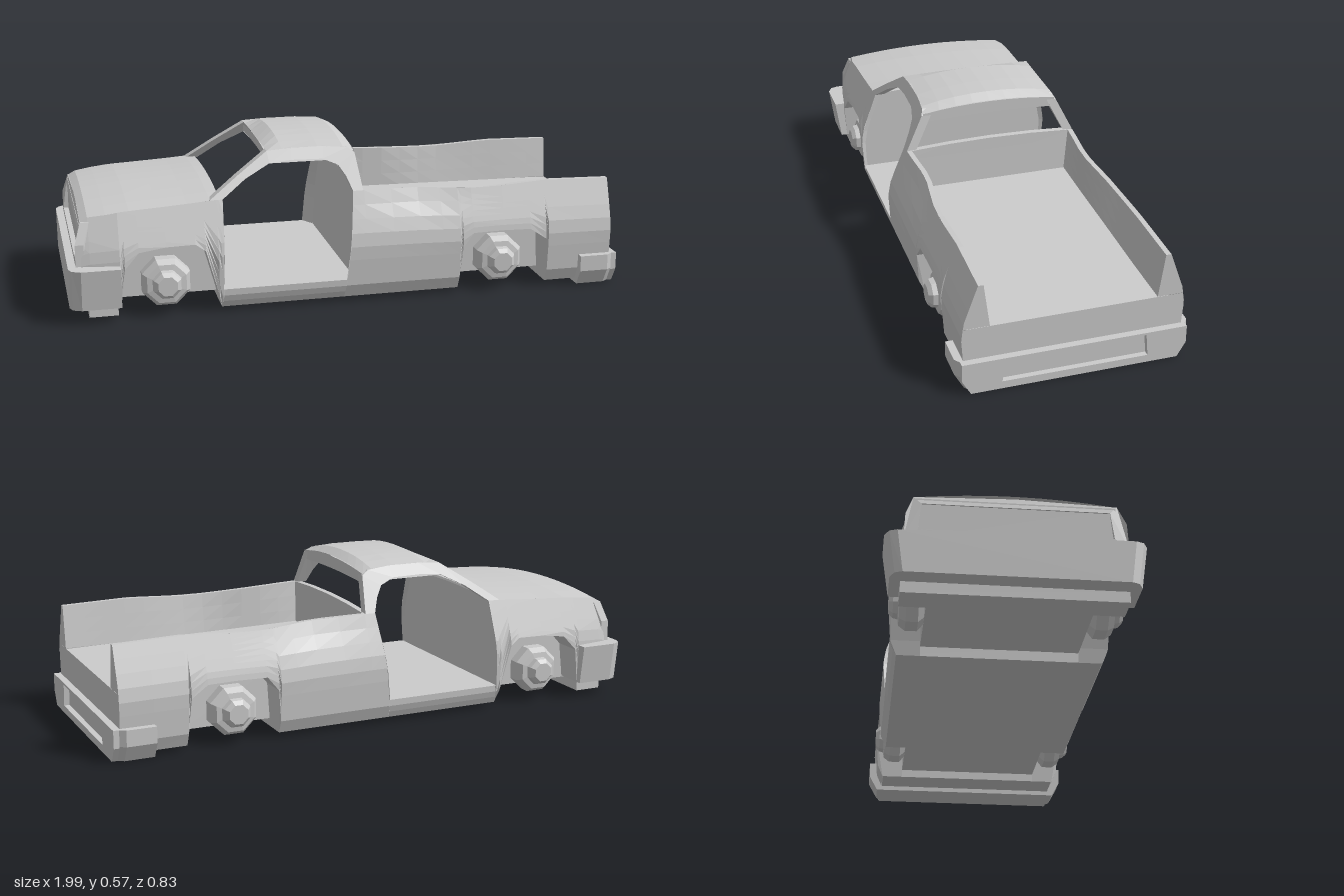
import * as THREE from 'three';

const mat = new THREE.MeshStandardMaterial({ color: 0xcccccc, flatShading: true, side: THREE.DoubleSide });
const lerp = THREE.MathUtils.lerp;

// Piecewise linear lookup in a list of [key, value]
function lookup(table, k) {
  if (k <= table[0][0]) return table[0][1];
  for (let i = 1; i < table.length; i++) {
    const [a, va] = table[i - 1], [b, vb] = table[i];
    if (k <= b) return lerp(va, vb, (k - a) / (b - a));
  }
  return table[table.length - 1][1];
}

// Half width of the body at a point of its side
const SECTION = [[0.02, 0.35], [0.06, 0.37], [0.2, 0.38], [0.26, 0.37], [0.33, 0.345], [0.4, 0.32], [0.54, 0.25], [0.575, 0.22]];
function width(x, y) {
  const nose = Math.max(0, -0.85 - x) * 0.22;
  const pinch = 0.018 * Math.exp(-(((x - 0.25) / 0.14) ** 2)) * THREE.MathUtils.smoothstep(y, 0.28, 0.38);
  return lookup(SECTION, y) - nose - pinch;
}

// Grid surface from fn(i, j) => [x, y, z]
function surface(nu, nv, fn) {
  const pos = [], idx = [];
  for (let i = 0; i <= nu; i++) for (let j = 0; j <= nv; j++) pos.push(...fn(i, j));
  for (let i = 0; i < nu; i++) for (let j = 0; j < nv; j++) {
    const a = i * (nv + 1) + j, b = a + nv + 1;
    idx.push(a, b, a + 1, b, b + 1, a + 1);
  }
  const g = new THREE.BufferGeometry();
  g.setAttribute('position', new THREE.Float32BufferAttribute(pos, 3));
  g.setIndex(idx);
  g.computeVertexNormals();
  return g;
}

function boxBetween(x0, x1, y0, y1, halfZ) {
  return new THREE.BoxGeometry(x1 - x0, y1 - y0, halfZ * 2).translate((x0 + x1) / 2, (y0 + y1) / 2, 0);
}

// Side skin from columns of [xBottom, yBottom, xTop, yTop]
function skin(cols, s, rows = 8) {
  return surface(cols.length - 1, rows, (i, j) => {
    const [xb, yb, xt, yt] = cols[i], t = j / rows;
    const x = lerp(xb, xt, t), y = lerp(yb, yt, t);
    return [x, y, s * width(x, y)];
  });
}

// Plate across the car with a rectangular hole, in z and y
function framedPlate(x, depth, outline, hz, hy0, hy1) {
  const shape = new THREE.Shape(outline.map(([z, y]) => new THREE.Vector2(z, y)));
  shape.holes.push(new THREE.Path([[-hz, hy0], [-hz * 0.97, hy1], [hz * 0.97, hy1], [hz, hy0]].map(p => new THREE.Vector2(...p))));
  return new THREE.ExtrudeGeometry(shape, { depth, bevelEnabled: false }).rotateY(Math.PI / 2).translate(x, 0, 0);
}

// Bumper extruded upward from its plan outline, narrowed at the bottom
function bumper(half, y0, y1, steps, narrow) {
  const pts = [...half, ...half.slice().reverse().map(([x, z]) => [x, -z])];
  const g = new THREE.ExtrudeGeometry(new THREE.Shape(pts.map(p => new THREE.Vector2(...p))), { depth: y1 - y0, steps, bevelEnabled: false });
  g.rotateX(-Math.PI / 2).translate(0, y0, 0);
  const p = g.attributes.position;
  for (let i = 0; i < p.count; i++) p.setZ(i, p.getZ(i) * narrow(p.getY(i)));
  g.computeVertexNormals();
  return g;
}

export function createModel() {
  const model = new THREE.Group();
  model.name = 'pickupTruck';
  const add = (name, geometry) => {
    const m = new THREE.Mesh(geometry, mat);
    m.name = name;
    model.add(m);
    return m;
  };

  const HOOD = [[-0.95, 0.35], [-0.92, 0.367], [-0.8, 0.382], [-0.6, 0.392], [-0.49, 0.4]];
  const RAIL = [[0.01, 0.4], [0.06, 0.4], [0.25, 0.395], [0.42, 0.385], [0.52, 0.384], [0.72, 0.396], [0.97, 0.39]];
  const frontArch = [[-0.82, 0.06], [-0.805, 0.19], [-0.755, 0.245], [-0.66, 0.258], [-0.56, 0.26], [-0.525, 0.235], [-0.48, 0.07], [-0.47, 0.02]];
  const rearArch = [[0.395, 0.02], [0.405, 0.18], [0.445, 0.23], [0.56, 0.232], [0.66, 0.23], [0.72, 0.19], [0.73, 0.02]];

  // Column from a lower edge point up to a top line
  const column = top => ([x, y]) => [x, y, x, lookup(top, x)];
  const fenderCols = [[-0.955, 0.06, -0.945, 0.353], [-0.92, 0.06, -0.92, 0.367], ...frontArch.map(column(HOOD)), [-0.468, 0.02, -0.455, 0.405]];
  const bedCols = [[-0.03, 0.02, 0.01, 0.4], ...[[0.05, 0.02], [0.15, 0.02], [0.25, 0.02], [0.33, 0.02], ...rearArch, [0.85, 0.02], [0.97, 0.02]].map(column(RAIL))];

  // Cab frame: outer and inner edge of pillars and roof rail
  const frame = [
    [-0.5, 0.4, -0.455, 0.4], [-0.4, 0.47, -0.37, 0.46], [-0.285, 0.545, -0.28, 0.505], [-0.2, 0.55, -0.2, 0.512],
    [-0.08, 0.55, -0.09, 0.51], [0.005, 0.542, -0.035, 0.488], [0.03, 0.525, -0.01, 0.45], [0.047, 0.4, 0.01, 0.4],
  ];
  // Inner face of the cargo bed
  const inner = (x, t) => {
    const y = lerp(0.235, lookup(RAIL, x), t);
    return [x, y, lerp(0.285, width(x, lookup(RAIL, x)) - 0.018, t)];
  };

  for (const s of [1, -1]) {
    const side = s > 0 ? 'Left' : 'Right';
    add('fender' + side, skin(fenderCols, s));
    add('bedSide' + side, skin(bedCols, s));
    add('sill' + side, skin([[-0.47, 0.02, -0.46, 0.09], [-0.25, 0.02, -0.25, 0.09], [-0.03, 0.02, -0.023, 0.09]], s, 3));

    // Hollow box section swept along the door opening
    add('cabFrame' + side, surface(frame.length - 1, 4, (i, j) => {
      const [ox, oy, ix, iy] = frame[i];
      const out = j === 0 || j === 3 || j === 4;
      const [x, y] = out ? [ox, oy] : [ix, iy];
      return [x, y, s * (width(x, y) - (j === 2 || j === 3 ? 0.035 : 0))];
    }));

    // Door jambs behind and ahead of the opening
    for (const [name, xb, xt] of [['frontJamb', -0.465, -0.455], ['rearJamb', -0.025, 0.01]]) {
      add(name + side, surface(6, 1, (i, j) => {
        const y = lerp(0.09, 0.4, i / 6), x = lerp(xb, xt, i / 6);
        return [x + (j ? (xb < -0.1 ? -0.02 : 0.03) : 0), y, s * (width(x, y) - j * 0.05)];
      }));
    }

    // Bed inner wall, rail cap and rear end of the wall
    add('bedWall' + side, surface(12, 3, (i, j) => {
      const [x, y, z] = inner(lerp(0.05, 0.97, i / 12), j / 3);
      return [x, y, s * z];
    }));
    add('bedRail' + side, surface(12, 1, (i, j) => {
      const x = lerp(0.05, 0.97, i / 12), y = lookup(RAIL, x);
      return [x, y, s * (width(x, y) - j * 0.018)];
    }));
    add('bedWallEnd' + side, surface(6, 1, (i, j) => {
      const [x, y, z] = inner(0.97, i / 6);
      return [x, y, s * (j ? z : width(x, y))];
    }));

    // Wheel wells and hubs
    [[frontArch, -0.66, 0.12, 'front'], [rearArch, 0.555, 0.115, 'rear']].forEach(([arch, x, y, name]) => {
      add(name + 'Well' + side, surface(arch.length - 1, 1, (i, j) => {
        const [ax, ay] = arch[i];
        return [ax, ay, s * (j ? 0.27 : width(ax, ay))];
      }));
      const profile = [[0, 0.386], [0.036, 0.386], [0.05, 0.372], [0.054, 0.355], [0.074, 0.352], [0.09, 0.33], [0.09, 0.29], [0.06, 0.265], [0, 0.265]];
      const hub = new THREE.LatheGeometry(profile.map(p => new THREE.Vector2(...p)), 8, Math.PI / 8).rotateX(s * Math.PI / 2);
      add(name + 'Wheel' + side, hub).position.set(x, y, 0);
    });
  }

  // Hood with a gentle crown, running forward over the nose
  const hoodX = [-0.945, -0.92, -0.86, -0.78, -0.68, -0.58, -0.5, -0.465];
  add('hood', surface(hoodX.length - 1, 8, (i, j) => {
    const x = hoodX[i], u = j / 4 - 1, y = lookup(HOOD, x);
    return [x, y + 0.02 * (1 - u * u), u * width(x, y)];
  }));

  // Nose: recessed grille inside a frame
  const nose = framedPlate(-0.968, 0.03, [[-0.355, 0.19], [0.355, 0.19], [0.35, 0.28], [0.325, 0.352], [0, 0.365], [-0.325, 0.352], [-0.35, 0.28]], 0.31, 0.225, 0.325);
  const np = nose.attributes.position;
  for (let i = 0; i < np.count; i++) np.setX(i, np.getX(i) + Math.max(0, np.getY(i) - 0.28) * 0.3);
  nose.computeVertexNormals();
  add('grilleFrame', nose);
  add('grille', boxBetween(-0.95, -0.93, 0.2, 0.345, 0.32));

  // Roof: closed section with top and underside
  const roofX = [[-0.285, 0.545, 0.548], [-0.23, 0.548, 0.574], [-0.1, 0.55, 0.575], [-0.01, 0.545, 0.572], [0.028, 0.53, 0.552]];
  add('roof', surface(roofX.length - 1, 8, (i, j) => {
    const [x, edge, mid] = roofX[i], u = j / 4 - 1;
    return [x, lerp(mid, edge, Math.abs(u) ** 2.2), u * width(x, edge)];
  }));
  add('roofLining', surface(2, 4, (i, j) => [[-0.28, -0.12, 0.03][i], 0.512 - Math.abs(j / 2 - 1) * 0.012, (j / 2 - 1) * 0.25]));
  for (const [name, x, top, bottom] of [['windshieldHeader', -0.285, 0.547, 0.515], ['rearWindowHeader', 0.03, 0.55, 0.505]]) {
    add(name, surface(8, 1, (i, j) => {
      const u = i / 4 - 1;
      return [x, (j ? bottom : top) - 0.018 * u * u * (j ? 0.4 : 1), u * 0.25];
    }));
  }

  // Cabin bulkheads and floor
  for (const [name, xb, xt, y0] of [['firewall', -0.47, -0.465, 0.02], ['cabBackWall', 0.005, 0.03, 0.06], ['bedFrontWall', 0.055, 0.05, 0.2]]) {
    add(name, surface(6, 4, (i, j) => {
      const t = i / 6, u = j / 2 - 1, y = lerp(y0, 0.4, t);
      return [lerp(xb, xt, t), y + (i === 6 ? 0.012 * (1 - u * u) : 0), u * (width(0, y) - 0.012)];
    }));
  }
  add('rearWindowSill', surface(1, 4, (i, j) => [0.03 + i * 0.022, 0.4 + 0.012 * (1 - (j / 2 - 1) ** 2), (j / 2 - 1) * 0.315]));
  add('cabinFloor', surface(1, 1, (i, j) => [i ? 0.01 : -0.465, 0.09, (j * 2 - 1) * 0.372]));

  // Bed floor and rear panel
  add('bedFloor', surface(8, 6, (i, j) => [lerp(0.05, 0.97, i / 8), lerp(0.245, 0.232, i / 8), (j / 3 - 1) * 0.287]));
  add('rearPanel', surface(5, 2, (i, j) => {
    const y = lerp(0.02, 0.234, i / 5);
    return [0.97, y, (j - 1) * width(0.97, y)];
  }));

  // Underside
  add('frontBelly', boxBetween(-0.83, -0.47, 0.055, 0.25, 0.27));
  add('middleBelly', boxBetween(-0.47, 0.395, 0.02, 0.085, 0.35));
  add('rearAxleBelly', boxBetween(0.395, 0.73, 0.05, 0.228, 0.27));
  add('tailBelly', boxBetween(0.73, 0.965, 0.02, 0.2, 0.348));

  // Bumpers
  add('frontBumper', bumper([[-0.82, 0.41], [-0.955, 0.41], [-0.985, 0.395], [-0.995, 0.37]], 0.06, 0.205, 1, y => lerp(0.96, 1.01, (y - 0.06) / 0.145)));
  add('frontBumperLip', boxBetween(-0.93, -0.83, 0.022, 0.06, 0.36));
  add('rearBumper', bumper([[0.85, 0.4], [0.955, 0.4], [0.975, 0.385]], 0.003, 0.118, 2, y => (y < 0.03 ? 0.92 : 1)));
  add('rearBumperFace', framedPlate(0.975, 0.02, [[-0.355, 0.003], [0.355, 0.003], [0.385, 0.055], [0.385, 0.118], [-0.385, 0.118], [-0.385, 0.055]], 0.25, 0.03, 0.11));

  return model;
}
